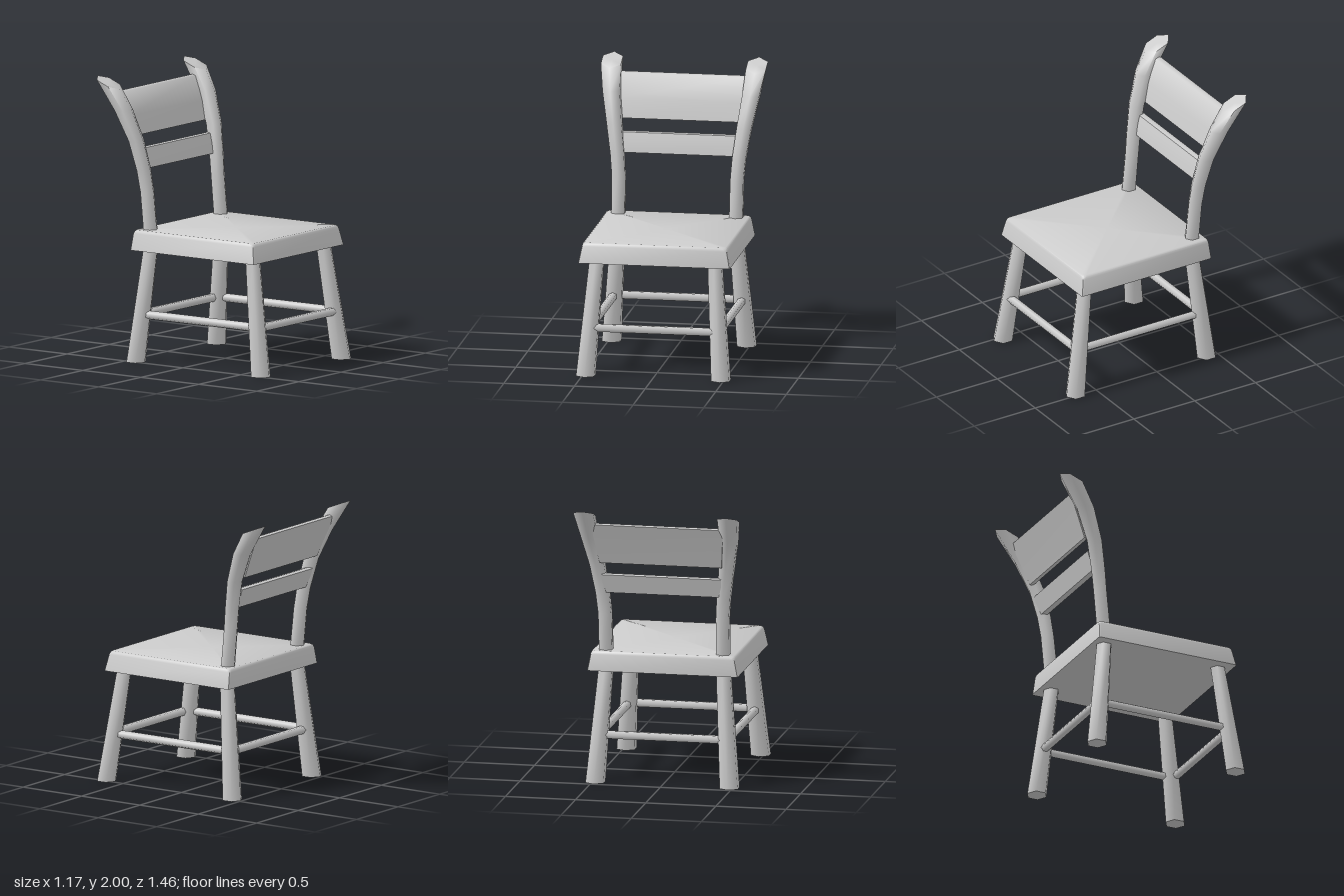
import * as THREE from 'three';
import { toCreasedNormals } from 'three/addons/utils/BufferGeometryUtils.js';

const material = new THREE.MeshStandardMaterial({ color: 0xcccccc });

// Skin a stack of rings (bottom to top, each counter-clockwise seen from below: +z towards +x) and cap both ends
function loft(rings, crease) {
  const n = rings[0].length;
  const points = rings.flat();
  const index = [];
  for (let r = 0; r < rings.length - 1; r++) {
    for (let i = 0; i < n; i++) {
      const a = r * n + i, b = r * n + (i + 1) % n;
      index.push(a, b, b + n, a, b + n, a + n);
    }
  }
  const cap = (start, flip) => {
    const centre = new THREE.Vector3();
    for (let i = 0; i < n; i++) centre.addScaledVector(points[start + i], 1 / n);
    const c = points.push(centre) - 1;
    for (let i = 0; i < n; i++) {
      const a = start + i, b = start + (i + 1) % n;
      if (flip) index.push(c, b, a);
      else index.push(c, a, b);
    }
  };
  cap(0, true);
  cap((rings.length - 1) * n, false);
  const geometry = new THREE.BufferGeometry().setFromPoints(points);
  geometry.setIndex(index);
  return toCreasedNormals(geometry, crease);
}

// Six-sided ring with a corner on the z axis; slope tilts it up towards the back
function hexRing(x, y, z, rx, rz = rx, slope = 0) {
  return Array.from({ length: 6 }, (_, i) => {
    const a = (i * Math.PI) / 3;
    const dz = rz * Math.cos(a);
    return new THREE.Vector3(x + rx * Math.sin(a), y - slope * dz, z + dz);
  });
}

// Rectangle ring with small rounded corners
function seatRing(y, halfX, front, back, radius) {
  const corners = [[1, front, 0], [1, back, 1], [-1, back, 2], [-1, front, 3]];
  return corners.flatMap(([side, z, quarter]) =>
    [0, 1, 2].map((k) => {
      const a = ((quarter + k / 2) * Math.PI) / 2;
      const cz = z + (z > 0 ? -radius : radius);
      return new THREE.Vector3(
        side * (halfX - radius) + radius * Math.sin(a), y, cz + radius * Math.cos(a));
    }));
}

export function createModel() {
  const chair = new THREE.Group();
  chair.name = 'chair';
  const add = (name, geometry) => {
    const mesh = new THREE.Mesh(geometry, material);
    mesh.name = name;
    chair.add(mesh);
    return mesh;
  };

  // Seat: sides lean inward, top edge rounded
  add('seat', loft([
    seatRing(0.795, 0.537, 0.637, -0.43, 0.012),
    seatRing(0.912, 0.516, 0.617, -0.425, 0.02),
    seatRing(0.929, 0.511, 0.611, -0.42, 0.025),
    seatRing(0.937, 0.499, 0.6, -0.41, 0.025),
  ], 0.7));

  for (const [side, label] of [[1, 'left'], [-1, 'right']]) {
    // Splayed legs
    add(label + 'FrontLeg', loft([
      hexRing(side * 0.478, 0, 0.655, 0.074),
      hexRing(side * 0.418, 0.82, 0.543, 0.056),
    ], 1.3));
    add(label + 'BackLeg', loft([
      hexRing(side * 0.478, 0, -0.42, 0.074),
      hexRing(side * 0.418, 0.82, -0.335, 0.056),
    ], 1.3));

    // Back post, sweeping outward and backward
    add(label + 'BackPost', loft([
      hexRing(side * 0.417, 0.9, -0.337, 0.054),
      hexRing(side * 0.419, 1.2, -0.366, 0.053),
      hexRing(side * 0.431, 1.35, -0.386, 0.055),
      hexRing(side * 0.46, 1.56, -0.43, 0.06),
      hexRing(side * 0.494, 1.775, -0.516, 0.07),
      hexRing(side * 0.513, 1.96, -0.632, 0.082, 0.096, 0.41),
    ], 1.3));

    // Side stretcher
    const rod = new THREE.CylinderGeometry(0.03, 0.03, 0.98, 6);
    rod.rotateX(Math.PI / 2);
    add(label + 'Stretcher', rod).position.set(side * 0.455, 0.337, 0.112);
  }

  // Front and back stretchers
  for (const [name, z] of [['frontStretcher', 0.628], ['backStretcher', -0.395]]) {
    const rod = new THREE.CylinderGeometry(0.03, 0.03, 0.87, 6);
    rod.rotateZ(Math.PI / 2);
    add(name, rod).position.set(0, 0.337, z);
  }

  // Back slats: [z, y] profiles, extruded across and widened with height to meet the posts
  const slats = {
    upperSlat: [[-0.472, 1.585], [-0.508, 1.72], [-0.575, 1.885], [-0.6, 1.893],
      [-0.622, 1.885], [-0.555, 1.73], [-0.497, 1.587]],
    lowerSlat: [[-0.383, 1.36], [-0.398, 1.43], [-0.42, 1.498], [-0.445, 1.503],
      [-0.468, 1.495], [-0.447, 1.43], [-0.425, 1.36]],
  };
  for (const [name, profile] of Object.entries(slats)) {
    const shape = new THREE.Shape(profile.map(([z, y]) => new THREE.Vector2(-z, y)));
    const geometry = new THREE.ExtrudeGeometry(shape, { depth: 2, bevelEnabled: false });
    geometry.translate(0, 0, -1);
    geometry.rotateY(Math.PI / 2);
    const position = geometry.attributes.position;
    for (let i = 0; i < position.count; i++) {
      const halfWidth = 0.425 + 0.12 * Math.max(0, position.getY(i) - 1.5);
      position.setX(i, position.getX(i) * halfWidth);
    }
    add(name, toCreasedNormals(geometry, 0.9));
  }
  return chair;
}
